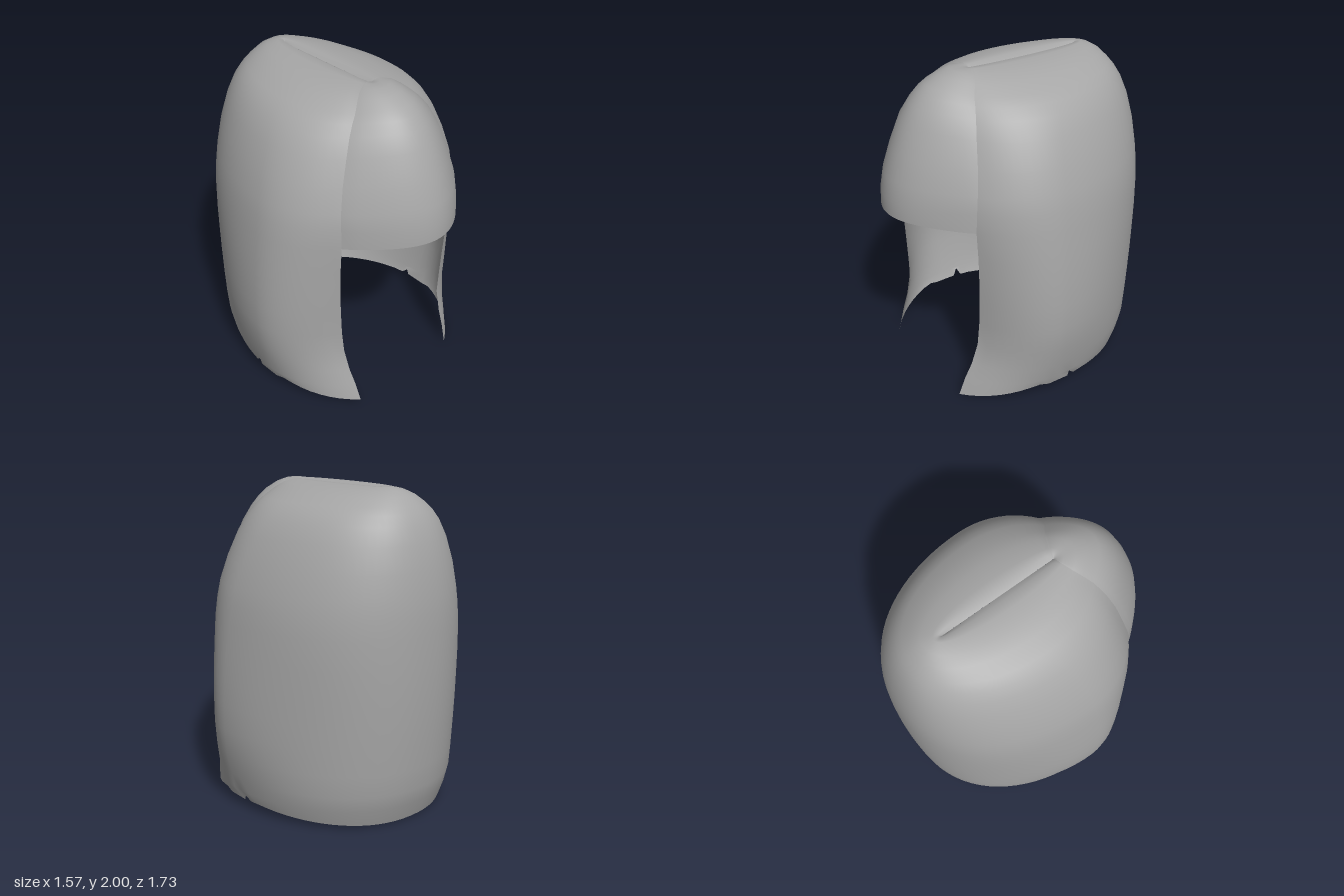
import * as THREE from 'three';

// Level of the shell: height, half width, back z, front edge x, front edge z
const LEVELS = [
  [0.05, 0.70, -0.75, 0.40, 0.65], [0.12, 0.72, -0.79, 0.41, 0.61],
  [0.22, 0.738, -0.815, 0.42, 0.565], [0.36, 0.77, -0.828, 0.43, 0.525],
  [0.52, 0.784, -0.84, 0.445, 0.52], [0.68, 0.782, -0.85, 0.455, 0.522],
  [0.84, 0.772, -0.856, 0.465, 0.526], [1.0, 0.756, -0.86, 0.467, 0.53],
  [1.18, 0.733, -0.86, 0.467, 0.54], [1.3, 0.713, -0.857, 0.464, 0.532],
  [1.4, 0.69, -0.85, 0.455, 0.52], [1.55, 0.642, -0.833, 0.415, 0.49],
  [1.7, 0.574, -0.80, 0.36, 0.46], [1.8, 0.51, -0.762, 0.31, 0.43],
  [1.86, 0.45, -0.727, 0.265, 0.405], [1.9, 0.395, -0.695, 0.225, 0.385],
  [1.95, 0.295, -0.648, 0.17, 0.345], [1.98, 0.205, -0.597, 0.125, 0.315],
  [1.998, 0.10, -0.535, 0.06, 0.285], [1.996, 0.04, -0.50, 0.024, 0.275],
  [1.975, 0.0001, -0.48, 0.00006, 0.27],
];
const FRINGE_START = 8; // level where the fringe ends at the brow

// Centre line of the fringe (height, z), one point for each level above the brow
const FRINGE = [
  [1.2, 0.865], [1.3, 0.862], [1.42, 0.838], [1.57, 0.79], [1.74, 0.72],
  [1.83, 0.66], [1.89, 0.61], [1.93, 0.56], [1.975, 0.475], [1.998, 0.40],
  [1.998, 0.33], [1.992, 0.29], [1.972, 0.27],
];

// Joins rows of points into one smooth surface
function gridGeometry(rows) {
  const n = rows[0].length;
  const index = [];
  for (let i = 0; i < rows.length - 1; i++) {
    for (let j = 0; j < n - 1; j++) {
      const a = i * n + j, b = a + n;
      index.push(a, a + 1, b, a + 1, b + 1, b);
    }
  }
  const geometry = new THREE.BufferGeometry();
  geometry.setAttribute('position', new THREE.Float32BufferAttribute(rows.flat(2), 3));
  geometry.setIndex(index);
  geometry.computeVertexNormals();
  return geometry;
}

// Uneven hem: lower towards the front edges and the back
function hemHeight(z) {
  if (z > 0.2) return 0.075 - 0.075 * Math.max(0, z - 0.25) / 0.4;
  return 0.06 - 0.05 * Math.max(0, -z - 0.09) / 0.65;
}

// Half of one level, from the front edge round the side to the middle of the back
function halfLevel([y, w, zb, xf, zf], row) {
  const FRONT = 10, BACK = 20;
  const zw = 0.1 - 0.2 * (y / 2) ** 6;
  const end = Math.acos(xf / w);
  const core = Math.min(w, 0.74); // width without the bulge at the side
  const points = [];
  for (let j = -FRONT; j <= BACK; j++) {
    let x, z, py = y;
    if (j < 0) {
      const t = (-j / FRONT) * end;
      x = w * Math.cos(t);
      z = zw + (zf - zw) * Math.sin(t) / Math.sin(end);
    } else {
      const t = (j / BACK) * Math.PI / 2;
      x = core * Math.cos(t) ** 0.92 + (w - core) * Math.cos(t) ** 8;
      z = zw + (zb - zw) * Math.sin(t);
    }
    if (row === 0) {
      // Small nick in the hem at the side
      if (j === 0) z = 0.02;
      if (j === 1) z = 0;
      py = j === 1 ? 0.12 : hemHeight(z);
    }
    points.push([x, py, z]);
  }
  return points;
}

export function createModel() {
  const group = new THREE.Group();
  group.name = 'hair';
  const grey = new THREE.MeshStandardMaterial({ color: 0xa6a6a6, side: THREE.DoubleSide });
  grey.name = 'hair grey';

  // Long hair round the sides and back, closing at the parting on top
  const shellRows = LEVELS.map((level, row) => {
    const left = halfLevel(level, row);
    const right = left.slice(0, -1).reverse().map(([x, y, z]) => [-x, y, z]);
    return [...left, ...right];
  });
  const shell = new THREE.Mesh(gridGeometry(shellRows), grey);
  shell.name = 'longHair';
  group.add(shell);

  // Bulging fringe between the front edges
  const COLUMNS = 32;
  const fringeRows = FRINGE.map(([yc, zc], i) => {
    const [ye, , , xe, ze] = LEVELS[FRINGE_START + i];
    const points = [];
    for (let j = 0; j <= COLUMNS; j++) {
      const u = (j / COLUMNS) * 2 - 1;
      const k = Math.max(0, Math.cos(u * Math.PI / 2)) ** 0.87;
      points.push([xe * u, ye + (yc - ye) * Math.sin(k * Math.PI / 2), ze + (zc - ze) * k]);
    }
    return points;
  });
  const fringe = new THREE.Mesh(gridGeometry(fringeRows), grey);
  fringe.name = 'fringe';
  group.add(fringe);

  return group;
}
